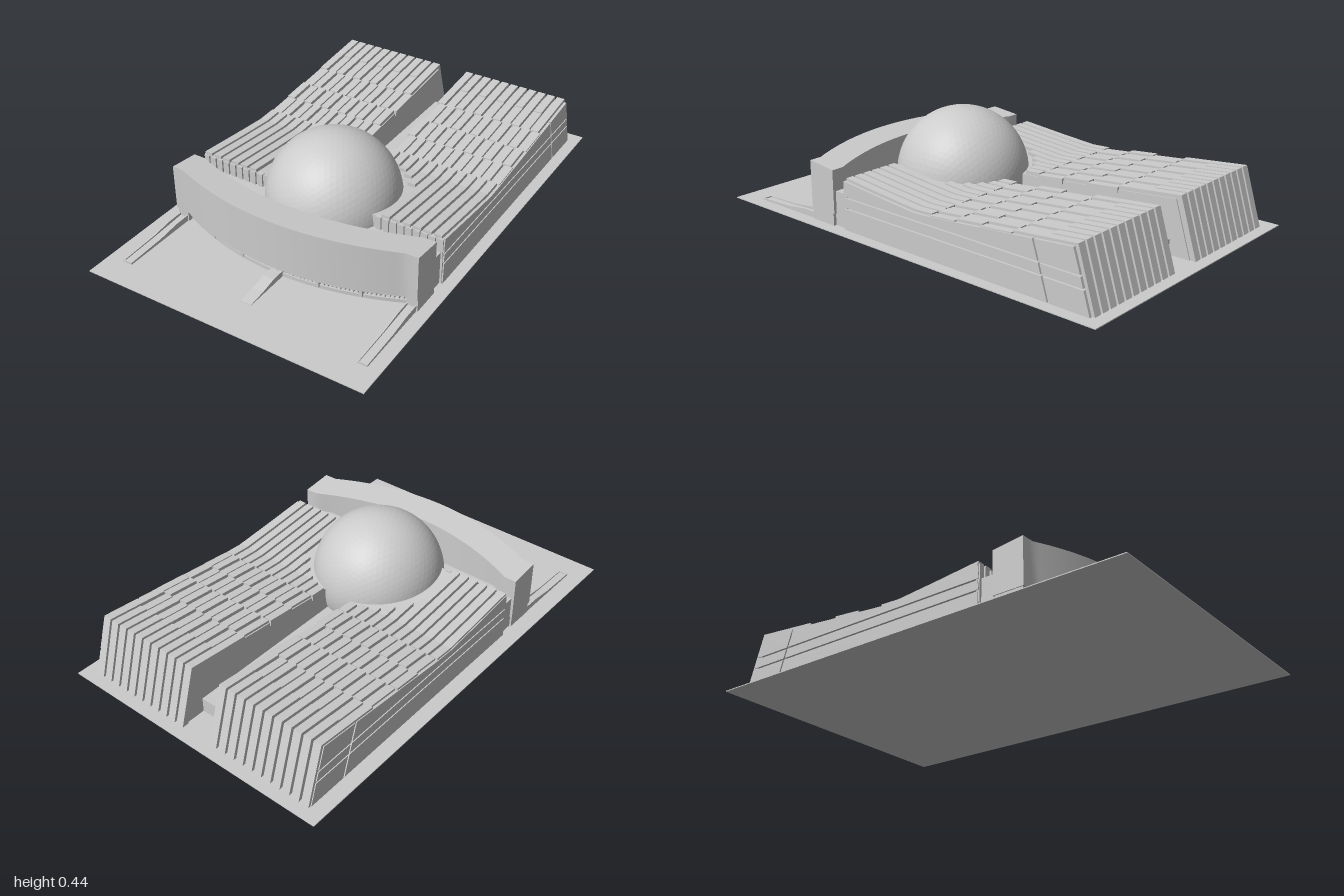
import * as THREE from 'three';
import { mergeGeometries, toCreasedNormals } from 'three/addons/utils/BufferGeometryUtils.js';

const CX = 0.008, DOME_Z = 0.2, DOME_Y = 0.15, DOME_R = 0.29;
const mat = new THREE.MeshStandardMaterial({ color: 0xcccccc });
const facet = new THREE.MeshStandardMaterial({ color: 0xcccccc, flatShading: true });

// Roof line of the two halls: dips near the dome, rises to the back
const roofPoints = [[-0.87, 0.258], [-0.5, 0.224], [-0.17, 0.194], [-0.08, 0.19], [0.1, 0.206], [0.32, 0.228]];
function roof(z) {
  for (let i = 1; i < roofPoints.length; i++) {
    const [z0, y0] = roofPoints[i - 1], [z1, y1] = roofPoints[i];
    if (z <= z1) return y0 + (y1 - y0) * (z - z0) / (z1 - z0);
  }
  return 0.228;
}
// Leaning back edge
const backZ = (y) => -0.95 + 0.08 * y / 0.258;

// Points along the roof between two z values, lifted by dy
function roofRun(zA, zB, dy) {
  const lo = Math.min(zA, zB), hi = Math.max(zA, zB);
  const mid = roofPoints.map((p) => p[0]).filter((z) => z > lo + 1e-4 && z < hi - 1e-4);
  const run = [lo, ...mid, hi].map((z) => [z, roof(z) + dy]);
  return zA > zB ? run.reverse() : run;
}
// Side profile given as (z, y) points, extruded from x0 to x1
function profile(points, x0, x1) {
  const shape = new THREE.Shape(points.map(([z, y]) => new THREE.Vector2(z, y)));
  const g = new THREE.ExtrudeGeometry(shape, { depth: x1 - x0, bevelEnabled: false });
  return g.rotateY(-Math.PI / 2).translate(x1, 0, 0);
}
// Plan outline given as (x, z) points, extruded from y0 to y1
function plan(points, y0, y1) {
  const shape = new THREE.Shape(points.map(([x, z]) => new THREE.Vector2(x, -z)));
  const g = new THREE.ExtrudeGeometry(shape, { depth: y1 - y0, bevelEnabled: false });
  return g.rotateX(-Math.PI / 2).translate(0, y0, 0);
}
function box(x0, x1, y0, y1, z0, z1) {
  return new THREE.BoxGeometry(x1 - x0, y1 - y0, z1 - z0)
    .translate((x0 + x1) / 2, (y0 + y1) / 2, (z0 + z1) / 2);
}

// Forward bulge of the curved front block
const bulge = (x) => 0.12 * Math.max(0, 1 - ((x - CX) / 0.53) ** 2);
function arcBand(half, back, front) {
  const a = [], b = [], n = 40;
  for (let i = 0; i <= n; i++) {
    const x = CX - half + 2 * half * i / n;
    a.push([x, front + bulge(x)]);
    b.unshift([x, back + bulge(x)]);
  }
  return [...a, ...b];
}

export function createModel() {
  const group = new THREE.Group();
  const add = (name, geometry, material = mat) => {
    const mesh = new THREE.Mesh(geometry, material);
    mesh.name = name;
    group.add(mesh);
  };

  add('groundPlate', box(-0.645, 0.645, 0, 0.004, -1, 1));

  // Faceted dome, flattened where it meets the ground
  const dome = new THREE.IcosahedronGeometry(DOME_R, 12).translate(CX, DOME_Y, DOME_Z);
  const dp = dome.attributes.position;
  for (let i = 0; i < dp.count; i++) dp.setY(i, Math.max(dp.getY(i), 0.006));
  dome.computeVertexNormals();
  add('dome', dome, facet);

  // Two halls with ribbed roofs and backs
  const rows = [0.32, -0.17, -0.3, -0.43, -0.58, -0.72, -0.87];
  const halls = [['right', -0.575, -0.06], ['left', 0.075, 0.59]];
  for (const [side, x0, x1] of halls) {
    add(side + 'HallCore', profile([[0.32, 0], ...roofRun(0.32, -0.85, -0.016), [-0.925, 0]], x0 + 0.006, x1 - 0.006));

    const ribs = [], count = 11, pitch = (x1 - x0) / count;
    for (let i = 0; i < count; i++) {
      for (let r = 0; r < rows.length - 1; r++) {
        const last = r === rows.length - 2;
        const jog = r > 0 && !last && r % 2 ? 0.011 : 0;
        const lift = r > 0 && (i + r) % 2 ? -0.005 : 0;
        const a = x0 + i * pitch + jog, b = a + pitch - 0.011;
        let zFront = rows[r];
        if (r === 0) {
          // Ribs stop in a stepped ring around the dome
          const near = Math.min(Math.abs(a - CX), Math.abs(b - CX));
          if (near < 0.3) zFront = DOME_Z - Math.sqrt(0.305 ** 2 - near ** 2);
        }
        const zBack = rows[r + 1];
        const pts = last
          ? [...roofRun(zFront, zBack, 0), [-0.95, 0], [-0.92, 0], [-0.845, 0.22], [zFront, roof(zFront) - 0.03]]
          : [...roofRun(zFront, zBack, lift), ...roofRun(zBack, zFront, -0.03)];
        ribs.push(profile(pts, a, b));
      }
    }
    add(side + 'RoofRibs', mergeGeometries(ribs));

    // Outer wall cladding: three bands, split by a leaning joint near the back
    const out = side === 'left' ? [x1 - 0.008, x1 + 0.004] : [x0 - 0.004, x0 + 0.008];
    const joint = (y) => backZ(y) + 0.2;
    const panels = [];
    for (const [lo, hi] of [[0.0, 0.098], [0.105, 0.145], [0.152, 0]]) {
      const top = hi || 0.235;
      const topRun = hi ? [[0.32, hi], [joint(hi), hi]] : roofRun(0.32, joint(0.235), -0.01);
      panels.push(profile([[0.325, lo], ...topRun, [joint(lo), lo]], ...out));
      const rear = hi
        ? [[joint(hi) - 0.008, hi], [backZ(hi) + 0.012, hi]]
        : roofRun(joint(top) - 0.008, -0.86, -0.01);
      panels.push(profile([[joint(lo) - 0.008, lo], ...rear, [backZ(lo) + 0.012, lo]], ...out));
    }
    add(side + 'WallPanels', mergeGeometries(panels));

    // Narrow fins on the front wall
    const fins = [];
    for (let x = x0; x < x1; x += 0.035) {
      if (Math.abs(x + 0.015 - CX) > 0.27) fins.push(box(x, Math.min(x + 0.024, x1), 0, 0.215, 0.31, 0.328));
    }
    add(side + 'FrontFins', mergeGeometries(fins));
  }

  add('passageFloor', box(-0.065, 0.08, 0, 0.07, -0.83, 0));
  add('podium', box(-0.565, 0.58, 0, 0.155, 0.3, 0.42));

  // Curved front block, its top sloping down to the back
  const block = plan(arcBand(0.585, 0.39, 0.53), 0.058, 0.3);
  const bp = block.attributes.position;
  for (let i = 0; i < bp.count; i++) {
    if (bp.getY(i) > 0.2) bp.setY(i, 0.278 - 0.11 * (0.65 - bp.getZ(i)));
  }
  block.computeVertexNormals();
  add('curvedFrontBlock', toCreasedNormals(block, 0.5));

  // Recessed ground storey under the block
  add('lowerTerrace', toCreasedNormals(plan(arcBand(0.54, 0.36, 0.5), 0, 0.02), 0.5));
  add('recessedWall', toCreasedNormals(plan(arcBand(0.55, 0.37, 0.43), 0, 0.06), 0.5));
  const slats = [];
  for (let i = 0; i <= 60; i++) {
    const x = CX - 0.51 + i * 0.017;
    slats.push(box(x - 0.003, x + 0.003, 0.015, 0.03, 0.42 + bulge(x), 0.495 + bulge(x)));
  }
  add('terraceSlats', mergeGeometries(slats));
  const posts = [-0.35, -0.175, 0.01, 0.19, 0.365].map((x) =>
    box(x - 0.007, x + 0.007, 0.01, 0.06, 0.475 + bulge(x), 0.505 + bulge(x)));
  add('posts', mergeGeometries(posts));

  // End piers and long side ramps with kerbs
  for (const s of [-1, 1]) {
    const name = s < 0 ? 'right' : 'left';
    const cx = CX + s * 0.557;
    add(name + 'EndPier', box(cx - 0.024, cx + 0.028, 0, 0.07, 0.395, 0.525));
    const ramp = [profile([[0.5, 0], [0.5, 0.022], [0.7, 0.012], [0.88, 0.007], [0.88, 0]], cx - 0.018, cx + 0.018)];
    for (const k of [-1, 1]) {
      const kx = cx + k * 0.019;
      ramp.push(profile([[0.5, 0], [0.5, 0.032], [0.6, 0.03], [0.7, 0.018], [0.88, 0.012], [0.88, 0]], kx - 0.003, kx + 0.003));
    }
    ramp.push(box(cx - 0.022, cx + 0.022, 0, 0.012, 0.876, 0.882));
    add(name + 'Ramp', mergeGeometries(ramp.map((g) => g.toNonIndexed ? (g.index ? g.toNonIndexed() : g) : g)));
  }

  // Central entrance ramp
  add('entranceRamp', profile([[0.55, 0], [0.55, 0.03], [0.68, 0.028], [0.75, 0.014], [0.83, 0.006], [0.83, 0]], -0.018, 0.032));

  return group;
}
